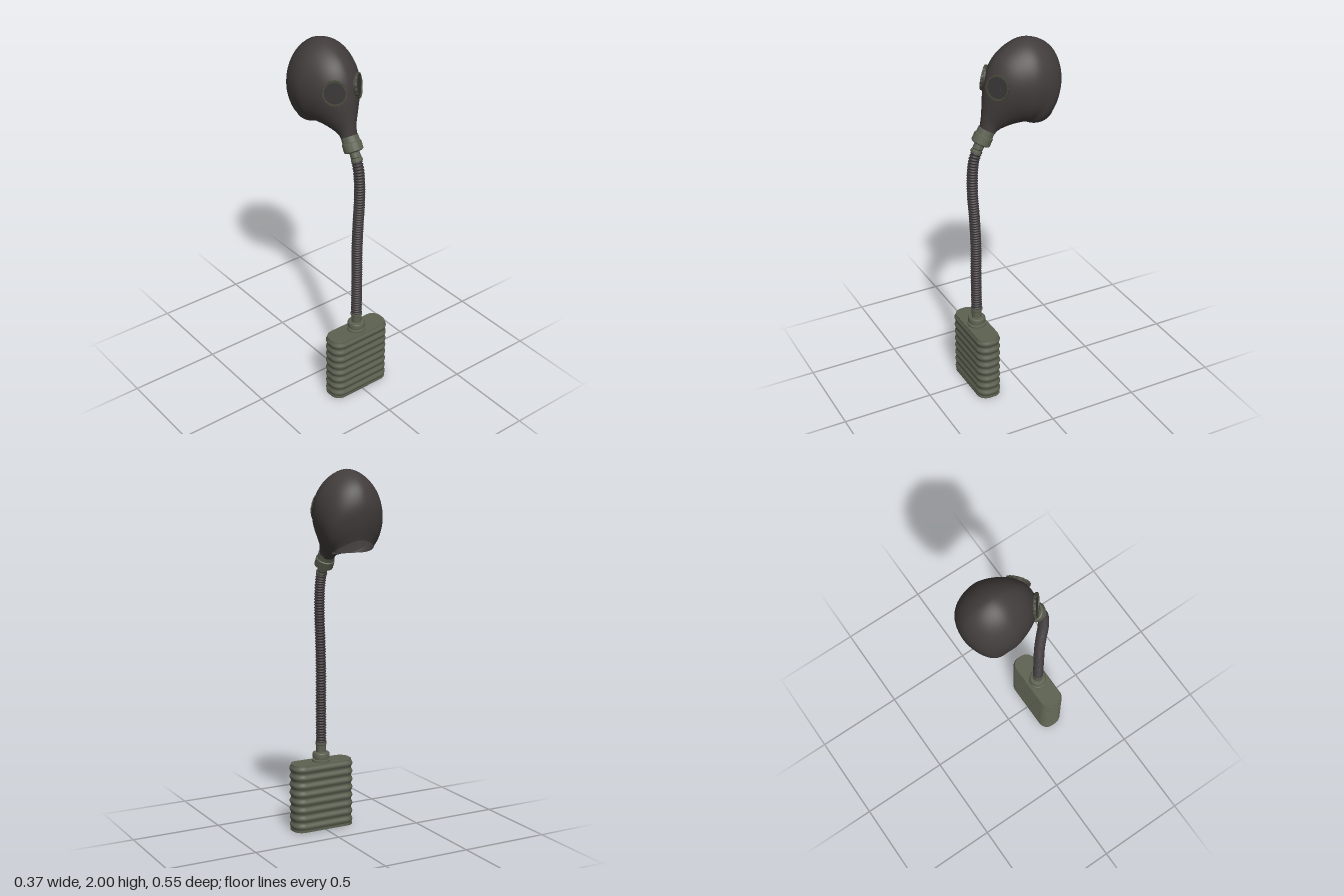
import * as THREE from 'three';
import { toCreasedNormals } from 'three/addons/utils/BufferGeometryUtils.js';

const mat = (name, color, side = THREE.FrontSide) => {
  const m = new THREE.MeshStandardMaterial({ color, side });
  m.name = name;
  return m;
};

const V = (x, y, z) => new THREE.Vector3(x, y, z);

// Skin closed rings of points; point(i, j) gives point j of ring i
function loft(rings, sides, point) {
  const pos = [], idx = [];
  for (let i = 0; i <= rings; i++)
    for (let j = 0; j < sides; j++) pos.push(...point(i / rings, j / sides).toArray());
  for (let i = 0; i < rings; i++)
    for (let j = 0; j < sides; j++) {
      const a = i * sides + j, b = i * sides + (j + 1) % sides;
      idx.push(a, a + sides, b, b, a + sides, b + sides);
    }
  const g = new THREE.BufferGeometry();
  g.setAttribute('position', new THREE.Float32BufferAttribute(pos, 3));
  g.setIndex(idx);
  g.computeVertexNormals();
  return g;
}

function lathe(profile, sides = 28) {
  const g = new THREE.LatheGeometry(profile.map(p => new THREE.Vector2(...p)), sides);
  return toCreasedNormals(g, 0.6);
}

// Rounded rectangle outline, used for the canister plates
function slab(hx, hz, r, depth) {
  const s = new THREE.Shape(), q = Math.PI / 2;
  s.absarc(hx - r, hz - r, r, 0, q);
  s.absarc(r - hx, hz - r, r, q, 2 * q);
  s.absarc(r - hx, r - hz, r, 2 * q, 3 * q);
  s.absarc(hx - r, r - hz, r, 3 * q, 4 * q);
  s.closePath();
  const g = new THREE.ExtrudeGeometry(s, { depth, bevelEnabled: false, curveSegments: 8 });
  return g.rotateX(-Math.PI / 2);
}

export function createModel() {
  const rubber = mat('dark rubber', 0x423c3c, THREE.DoubleSide);
  const hoseRubber = mat('hose rubber', 0x3f393b);
  const green = mat('olive metal', 0x5d6151);
  const rimGreen = mat('dark olive rim', 0x454839);
  const glass = mat('dark glass', 0x373534, THREE.DoubleSide);
  const black = mat('black plug', 0x1c1c1a);

  const model = new THREE.Group();
  const add = (name, geo, material, parent = model) => {
    const m = new THREE.Mesh(geo, material);
    m.name = name;
    parent.add(m);
    return m;
  };

  // Mask: rings fan from the snout over the crown to the neck opening
  // each row: outer z, y; inner z, y; half width
  const rows = [
    [0.166, 1.56, 0.095, 1.515, 0.042], [0.158, 1.62, 0.075, 1.53, 0.047],
    [0.152, 1.675, 0.05, 1.542, 0.064], [0.141, 1.765, 0.0, 1.555, 0.097],
    [0.115, 1.86, -0.028, 1.56, 0.127], [0.06, 1.935, -0.042, 1.562, 0.15],
    [-0.03, 1.988, -0.048, 1.563, 0.168], [-0.1, 2.0, -0.052, 1.563, 0.175],
    [-0.18, 1.972, -0.055, 1.564, 0.173], [-0.24, 1.915, -0.057, 1.564, 0.166],
    [-0.27, 1.83, -0.058, 1.565, 0.156], [-0.263, 1.735, -0.059, 1.565, 0.138],
    [-0.24, 1.65, -0.06, 1.565, 0.112],
  ];
  const outer = new THREE.CatmullRomCurve3(rows.map(r => V(0, r[1], r[0])));
  const inner = new THREE.CatmullRomCurve3(rows.map(r => V(0, r[3], r[2])));
  const width = new THREE.SplineCurve(rows.map((r, i) => new THREE.Vector2(i, r[4])));
  add('mask', loft(60, 48, (t, u) => {
    const a = u * Math.PI * 2, c = Math.cos(a), s = Math.sin(a);
    const p = outer.getPoint(t).lerp(inner.getPoint(t), (1 - c) / 2);
    const k = Math.min(1, t * 3);
    const e = 1 + k * (c > 0 ? 0.15 : -0.12);
    p.x = -Math.sign(s) * Math.pow(Math.abs(s), e) * width.getPoint(t).y;
    p.y -= 0.02 * s * s * Math.max(0, t - 0.7) / 0.3;
    return p;
  }), rubber);

  // Eyepieces with a crimped rim
  const rimShape = new THREE.Shape();
  const teeth = 16;
  for (let i = 0; i <= teeth * 4; i++) {
    const a = i / (teeth * 4) * Math.PI * 2, r = 0.0605 + 0.0015 * Math.cos(a * teeth);
    i ? rimShape.lineTo(r * Math.cos(a), r * Math.sin(a)) : rimShape.moveTo(r, 0);
  }
  const hole = new THREE.Path();
  hole.absarc(0, 0, 0.053, 0, Math.PI * 2, true);
  rimShape.holes.push(hole);
  const rimGeo = new THREE.ExtrudeGeometry(rimShape, { depth: 0.012, bevelEnabled: false, curveSegments: 32 });
  for (const s of [1, -1]) {
    const eye = new THREE.Group();
    eye.name = s > 0 ? 'leftEyepiece' : 'rightEyepiece';
    eye.position.set(s * 0.074, 1.795, 0.106);
    eye.rotation.set(-0.13, s * 0.7, 0, 'YXZ');
    eye.scale.y = 1.07;
    model.add(eye);
    add('eyeRim', rimGeo, rimGreen, eye).position.z = -0.004;
    add('eyeLens', new THREE.CircleGeometry(0.055, 32), glass, eye).position.z = 0.002;
    const socket = new THREE.CylinderGeometry(0.058, 0.056, 0.03, 32, 1, true);
    add('eyeSocket', socket.rotateX(Math.PI / 2), rubber, eye).position.z = -0.018;
  }

  // Snout coupling
  const coupling = add('snoutCoupling', lathe([
    [0, 0], [0.03, 0], [0.031, 0.012], [0.027, 0.016], [0.027, 0.05], [0.042, 0.052],
    [0.051, 0.058], [0.051, 0.1], [0.046, 0.104], [0.045, 0.135], [0, 0.135],
  ]), green);
  coupling.position.set(0, 1.427, 0.197);
  coupling.rotation.x = -0.51;

  // Corrugated hose
  const path = new THREE.CatmullRomCurve3([
    V(0, 0.48, 0.204), V(0, 0.7, 0.204), V(0, 0.9, 0.203), V(0, 1.07, 0.21),
    V(0, 1.2, 0.218), V(0, 1.32, 0.216), V(0, 1.39, 0.206), V(0, 1.45, 0.184),
  ]);
  const ridges = 64;
  const X = V(1, 0, 0);
  add('hose', loft(ridges * 6, 18, (t, u) => {
    const a = u * Math.PI * 2, r = 0.0268 + 0.0028 * Math.cos(t * ridges * Math.PI * 2);
    const n = X.clone().cross(path.getTangentAt(t));
    return path.getPointAt(t).addScaledVector(X, r * Math.cos(a)).addScaledVector(n, r * Math.sin(a));
  }), hoseRubber);

  // Canister
  const can = new THREE.Group();
  can.name = 'canister';
  can.position.z = 0.204;
  model.add(can);
  const ribs = 8, corner = 0.052;
  add('ribbedBody', loft(ribs * 10, 48, (t, u) => {
    const a = (Math.floor(u * 48) + 0.5) / 48 * Math.PI * 2;
    const c = Math.cos(a), s = Math.sin(a);
    const d = 0.008 * Math.pow(Math.sin(t * ribs * Math.PI), 2);
    return V(Math.sign(c) * (0.177 - corner) + c * (corner + d), 0.01 + t * 0.371,
      Math.sign(s) * (0.062 - corner) + s * (corner + d));
  }), green);
  add('topPlate', slab(0.177, 0.062, corner, 0.012), green, can).position.y = 0.371;
  add('bottomPlate', slab(0.181, 0.066, corner, 0.012), green, can).position.y = 0.004;
  add('bottomPlug', new THREE.CylinderGeometry(0.036, 0.036, 0.012, 24), black, can).position.y = 0.006;
  can.add(model.getObjectByName('ribbedBody'));

  // Canister outlet
  add('canisterOutlet', lathe([
    [0.05, 0.38], [0.05, 0.392], [0.038, 0.395], [0.038, 0.401], [0.047, 0.404], [0.047, 0.428],
    [0.043, 0.434], [0.027, 0.436], [0.027, 0.474], [0.031, 0.478], [0.031, 0.492], [0, 0.492],
  ]), green, can);

  return model;
}
